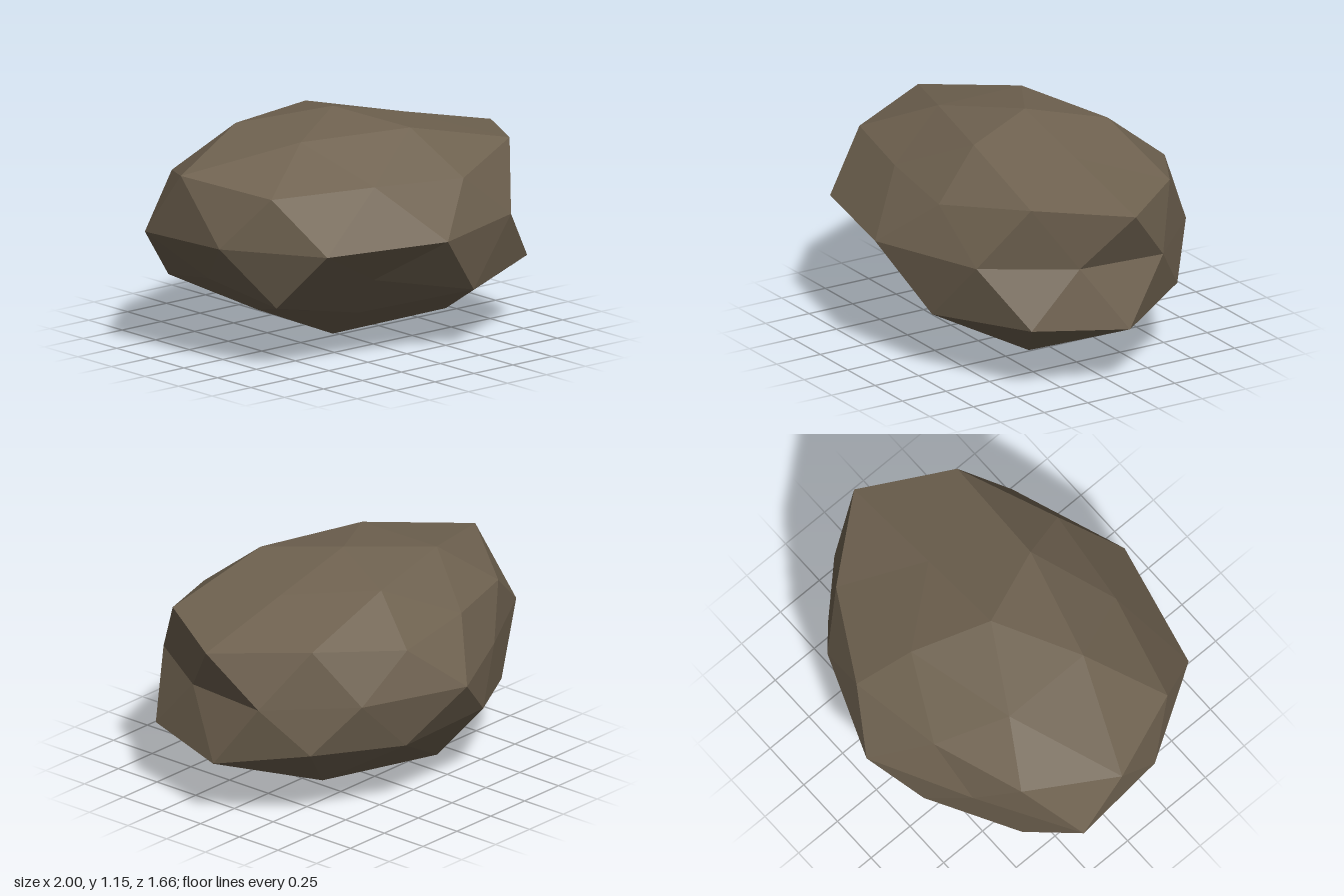
import * as THREE from 'three';

// Radial bulge of every ring, listed counter-clockwise seen from above, starting near +x
const EQUATOR = [0.94, 0.91, 1.0, 0.84, 1.035, 0.985, 1.1, 1.075, 1.0, 0.9];
const UPPER = {
  sign: 1, shift: 0, pole: 0.945,
  cap: [0.88, 0.95, 0.975, 0.967, 0.985],
  corner: [1.135, 0.94, 0.95, 1.085, 0.975],
  between: [1.0, 0.87, 1.145, 0.92, 1.1],
};
const LOWER = {
  sign: -1, shift: 1, pole: 1.156,
  cap: [1.075, 1.115, 0.92, 0.92, 1.14],
  corner: [1.0, 0.98, 0.89, 0.85, 1.15],
  between: [0.97, 1.02, 1.046, 1.105, 1.13],
};
const SCALE = new THREE.Vector3(1, 0.545, 0.8);
const CENTRE = new THREE.Vector3(-0.02, 0.63, -0.03);

// Point on the squashed sphere: angle around y, height on the unit sphere, bulge
function point(degrees, height, bulge) {
  const a = THREE.MathUtils.degToRad(degrees);
  const r = Math.sqrt(1 - height * height);
  return new THREE.Vector3(r * Math.cos(a), height, -r * Math.sin(a))
    .multiplyScalar(bulge).multiply(SCALE).add(CENTRE);
}

// Half of a once-subdivided icosahedron, from the pole to the equator
function addHalf(positions, equator, half) {
  const { sign, shift } = half;
  const turn = 36 * shift;
  const ring = (values, offset, height) =>
    values.map((v, k) => point(72 * k + turn + offset, sign * height, v));
  const pole = point(0, sign, half.pole);
  const cap = ring(half.cap, 0, 0.8507);
  const corner = ring(half.corner, 0, 0.4472);
  const between = ring(half.between, 36, 0.5257);
  const eq = (i) => equator[(i + shift + 10) % 10];
  const face = (a, b, c) => {
    for (const p of sign > 0 ? [a, b, c] : [a, c, b]) positions.push(p.x, p.y, p.z);
  };
  for (let k = 0; k < 5; k++) {
    const n = (k + 1) % 5;
    face(pole, cap[k], cap[n]);
    face(cap[k], corner[k], between[k]);
    face(cap[k], between[k], cap[n]);
    face(cap[n], between[k], corner[n]);
    face(corner[k], eq(2 * k - 1), eq(2 * k));
    face(corner[k], eq(2 * k), between[k]);
    face(between[k], eq(2 * k), eq(2 * k + 1));
    face(between[k], eq(2 * k + 1), corner[n]);
  }
}

export function createModel() {
  const stone = new THREE.MeshStandardMaterial({ color: 0x6f6250 });
  stone.name = 'brownStone';
  stone.flatShading = true;

  const equator = EQUATOR.map((v, i) => point(18 + 36 * i, 0, v));
  const positions = [];
  addHalf(positions, equator, UPPER);
  addHalf(positions, equator, LOWER);

  const geometry = new THREE.BufferGeometry();
  geometry.setAttribute('position', new THREE.Float32BufferAttribute(positions, 3));
  geometry.computeVertexNormals();

  const boulder = new THREE.Mesh(geometry, stone);
  boulder.name = 'boulder';
  const group = new THREE.Group();
  group.name = 'rock';
  group.add(boulder);
  return group;
}
